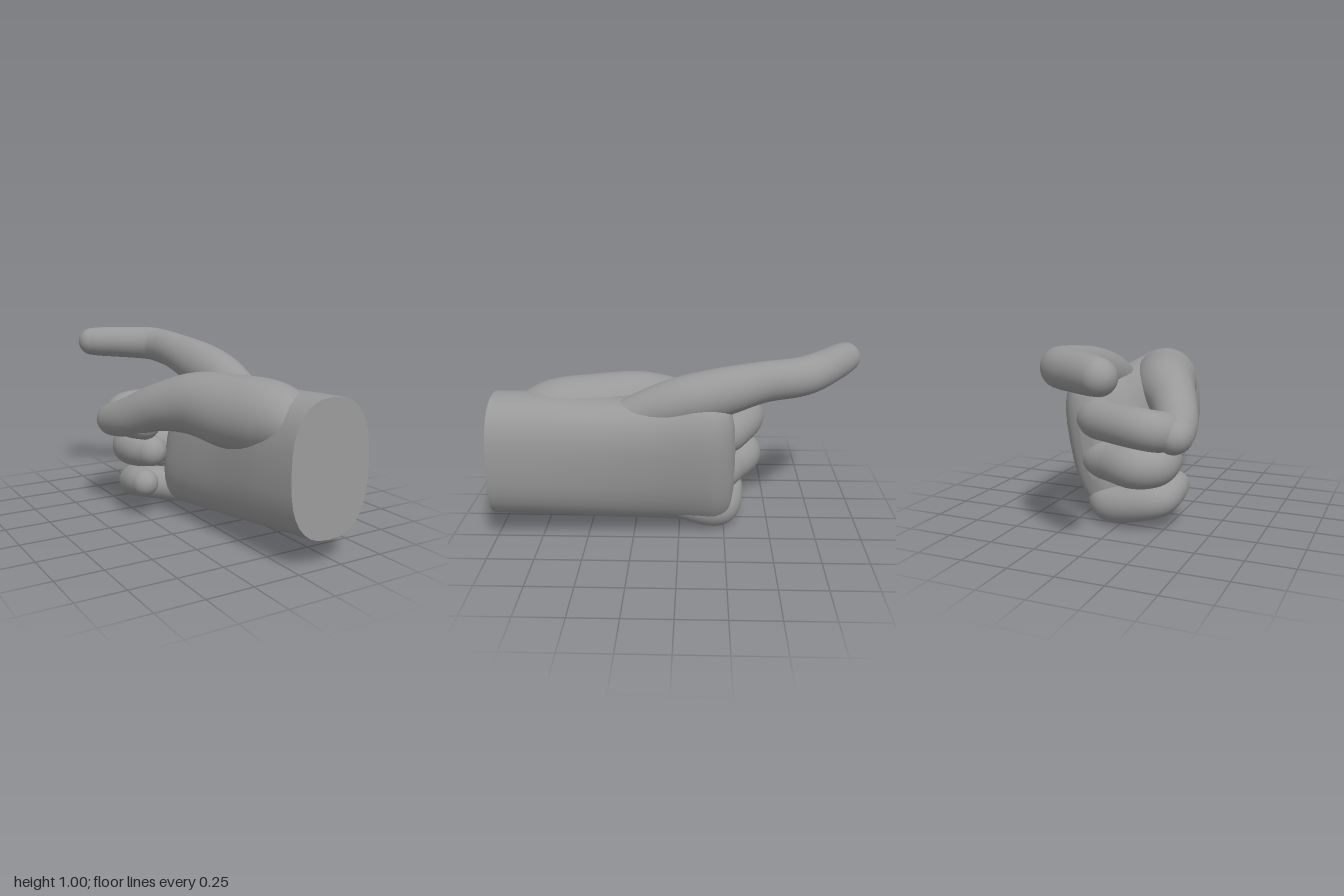
import * as THREE from 'three';

const SIDES = 32;

// Smooth interpolation through rows of numbers
function spline(rows, steps) {
  const out = [];
  const row = (i) => rows[Math.min(Math.max(i, 0), rows.length - 1)];
  const blend = (a, b, c, d, t) => 0.5 * (2 * b + (c - a) * t
    + (2 * a - 5 * b + 4 * c - d) * t * t + (3 * b - a - 3 * c + d) * t * t * t);
  for (let i = 0; i < rows.length - 1; i++) {
    const last = i === rows.length - 2 ? 1 : 0;
    for (let s = 0; s < steps + last; s++) {
      out.push(rows[i].map((_, k) =>
        blend(row(i - 1)[k], row(i)[k], row(i + 1)[k], row(i + 2)[k], s / steps)));
    }
  }
  return out;
}

// Skin over rings of points; every ring runs counter-clockwise about the travel direction
function loft(rings) {
  const pos = [], index = [];
  rings.forEach((ring) => ring.forEach((p) => pos.push(p.x, p.y, p.z)));
  for (let i = 0; i < rings.length - 1; i++) {
    for (let j = 0; j < SIDES; j++) {
      const k = (j + 1) % SIDES;
      const a = i * SIDES + j, b = i * SIDES + k;
      const c = b + SIDES, d = a + SIDES;
      index.push(a, b, c, a, c, d);
    }
  }
  const geo = new THREE.BufferGeometry();
  geo.setAttribute('position', new THREE.Float32BufferAttribute(pos, 3));
  geo.setIndex(index);
  geo.computeVertexNormals();
  return geo;
}

// Round finger along stations [x, y, z, radius], with a domed tip
function finger(stations) {
  const path = spline(stations, 6);
  const centres = path.map((p) => new THREE.Vector3(p[0], p[1], p[2]));
  const rings = [];
  const normal = new THREE.Vector3(0, 1, 0);
  const side = new THREE.Vector3(), dir = new THREE.Vector3();
  const ring = (centre, r) => {
    const pts = [];
    for (let j = 0; j < SIDES; j++) {
      const a = (j / SIDES) * Math.PI * 2;
      pts.push(centre.clone().addScaledVector(normal, r * Math.cos(a))
        .addScaledVector(side, r * Math.sin(a)));
    }
    rings.push(pts);
  };
  centres.forEach((c, i) => {
    dir.subVectors(centres[Math.min(i + 1, centres.length - 1)], centres[Math.max(i - 1, 0)]).normalize();
    normal.addScaledVector(dir, -normal.dot(dir)).normalize();
    side.crossVectors(dir, normal);
    ring(c, path[i][3]);
  });
  const tip = centres[centres.length - 1], r = path[path.length - 1][3];
  for (let k = 1; k <= 8; k++) {
    const a = (k / 8) * Math.PI / 2;
    ring(tip.clone().addScaledVector(dir, r * Math.sin(a)), k === 8 ? 0 : r * Math.cos(a));
  }
  return loft(rings);
}

// Rounded-box section: [z, left, right, bottom, top, lean, tilt]
function palmRing([z, left, right, bottom, top, lean, tilt], size = 1) {
  const pts = [];
  const cx = (left + right) / 2, cy = (bottom + top) / 2;
  const soft = (v) => Math.sign(v) * Math.pow(Math.abs(v), 0.8);
  for (let j = 0; j < SIDES; j++) {
    const a = (j / SIDES) * Math.PI * 2;
    const dx = soft(Math.cos(a)) * (right - left) / 2 * size;
    const dy = -soft(Math.sin(a)) * (top - bottom) / 2 * size;
    pts.push(new THREE.Vector3(cx + dx + lean * dy, cy + dy, z - tilt * dy));
  }
  return pts;
}

export function createModel() {
  const hand = new THREE.Group();
  hand.name = 'pointingHand';
  const skin = new THREE.MeshStandardMaterial({ color: 0x999999 });
  skin.name = 'grey';
  const add = (name, geo) => {
    const mesh = new THREE.Mesh(geo, skin);
    mesh.name = name;
    hand.add(mesh);
  };

  // Palm and wrist, from the cut wrist to the knuckles
  const sections = [
    [0.985, -0.05, 0.41, 0.14, 0.81, 0.03, 0.045],
    [0.70, -0.08, 0.385, 0.115, 0.80, 0.05, 0.02],
    [0.40, -0.09, 0.365, 0.085, 0.78, 0.10, 0],
    [0.10, -0.10, 0.35, 0.06, 0.79, 0.15, 0],
    [-0.10, -0.085, 0.345, 0.04, 0.81, 0.18, 0],
    [-0.20, -0.02, 0.325, 0.05, 0.79, 0.18, 0],
    [-0.27, 0.06, 0.27, 0.11, 0.73, 0.18, 0],
    [-0.30, 0.13, 0.20, 0.25, 0.60, 0.18, 0],
  ];
  const path = spline(sections, 6);
  const rings = path.map((s) => palmRing(s));
  rings.push(palmRing(path[path.length - 1], 0));
  add('palm', loft(rings));
  add('wristEnd', loft([palmRing(sections[0], 0), palmRing(sections[0])]));

  // Outstretched index finger, bent inward at the middle joint
  add('indexFinger', finger([
    [0.20, 0.68, 0.30, 0.09], [0.20, 0.76, 0.05, 0.125], [0.19, 0.815, -0.18, 0.13],
    [0.16, 0.87, -0.42, 0.108], [0.142, 0.892, -0.60, 0.103], [0.09, 0.903, -0.70, 0.10],
    [-0.06, 0.907, -0.82, 0.094], [-0.15, 0.908, -0.885, 0.09], [-0.192, 0.908, -0.915, 0.085],
  ]));

  // Thumb, swelling from the wrist and pressing on the middle finger
  add('thumb', finger([
    [0.10, 0.62, 0.88, 0.12], [0.08, 0.66, 0.68, 0.185], [0.005, 0.665, 0.45, 0.192],
    [-0.085, 0.68, 0.22, 0.167], [-0.20, 0.64, 0.02, 0.13], [-0.285, 0.565, -0.16, 0.112],
    [-0.322, 0.53, -0.29, 0.097], [-0.325, 0.525, -0.325, 0.09],
  ]));

  // Curled fingers
  add('middleFinger', finger([
    [0.20, 0.57, -0.02, 0.10], [0.16, 0.57, -0.20, 0.115], [0.03, 0.57, -0.30, 0.108],
    [-0.16, 0.565, -0.368, 0.107], [-0.255, 0.55, -0.335, 0.105],
    [-0.26, 0.535, -0.20, 0.10], [-0.235, 0.53, -0.10, 0.09],
  ]));
  add('ringFinger', finger([
    [0.18, 0.35, -0.02, 0.10], [0.15, 0.35, -0.18, 0.115], [0.03, 0.35, -0.27, 0.11],
    [-0.12, 0.355, -0.35, 0.112], [-0.215, 0.36, -0.315, 0.108],
    [-0.225, 0.365, -0.20, 0.10], [-0.195, 0.37, -0.10, 0.088],
  ]));
  add('littleFinger', finger([
    [0.16, 0.19, 0.00, 0.10], [0.11, 0.125, -0.17, 0.11], [0.04, 0.105, -0.24, 0.103],
    [-0.12, 0.135, -0.27, 0.095], [-0.225, 0.165, -0.25, 0.09],
    [-0.25, 0.19, -0.15, 0.085], [-0.25, 0.20, -0.07, 0.075],
  ]));

  return hand;
}
